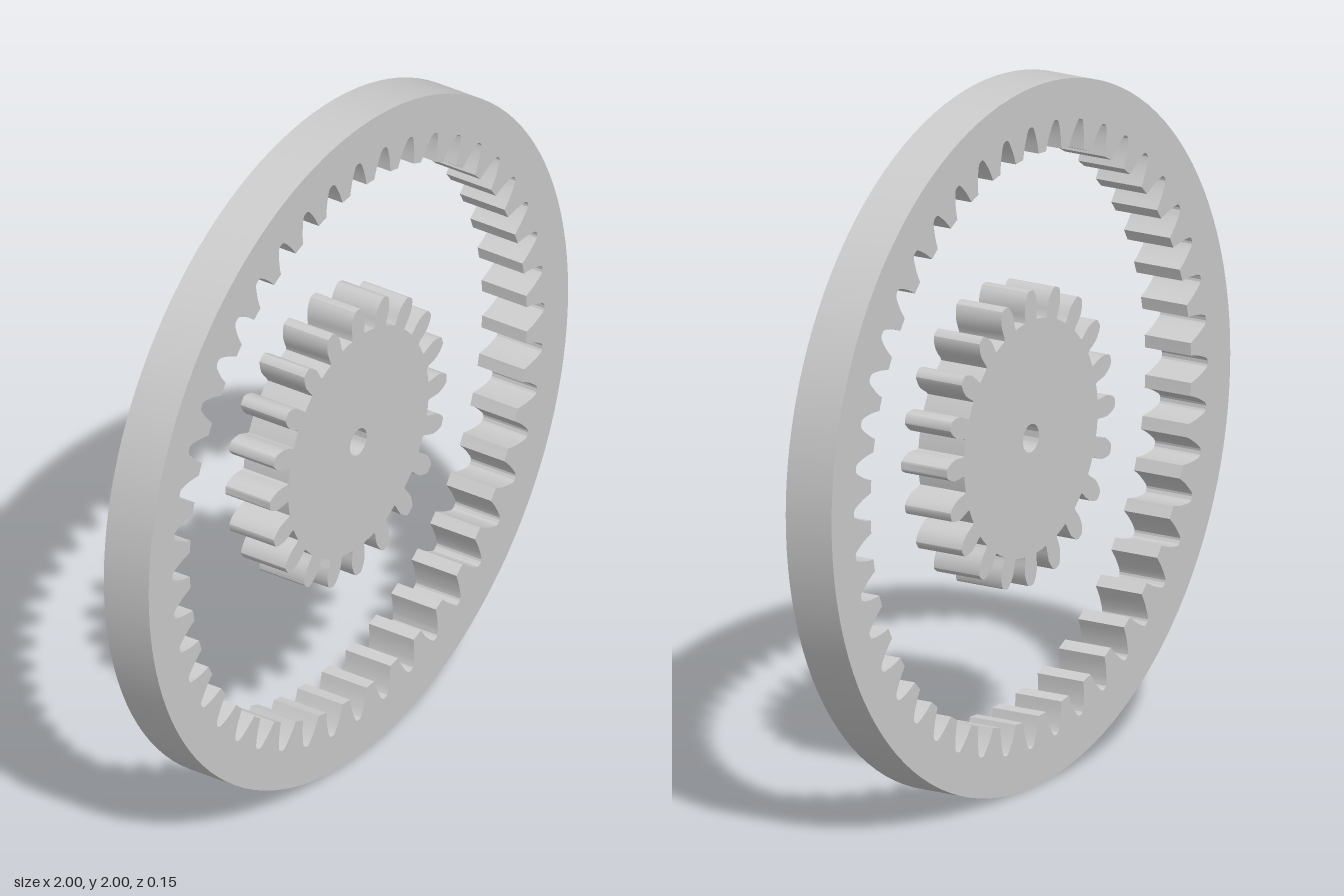
import * as THREE from 'three';
import { toCreasedNormals } from 'three/addons/utils/BufferGeometryUtils.js';

const DEPTH = 0.15;
const material = new THREE.MeshStandardMaterial({ color: 0xcccccc });

// Closed gear outline: flank lists [radius, half width] from root to tip,
// repeated around the circle with one tooth centred at the top.
function gearOutline(teeth, flank) {
  const points = [];
  const pitch = (Math.PI * 2) / teeth;
  const rootRadius = flank[0][0];
  const add = (r, a) => points.push(new THREE.Vector2(r * Math.cos(a), r * Math.sin(a)));
  for (let i = 0; i < teeth; i++) {
    const a = Math.PI / 2 + i * pitch;
    for (const [r, w] of flank) add(r, a - w / r);
    for (const [r, w] of [...flank].reverse()) add(r, a + w / r);
    add(rootRadius, a + pitch / 2); // middle of the land between teeth
  }
  return points;
}

function extrudePart(name, shape) {
  const extruded = new THREE.ExtrudeGeometry(shape, { depth: DEPTH, bevelEnabled: false, curveSegments: 60 });
  extruded.translate(0, 0, -DEPTH / 2);
  const mesh = new THREE.Mesh(toCreasedNormals(extruded, 0.4), material);
  mesh.name = name;
  mesh.position.y = 1;
  return mesh;
}

export function createModel() {
  const group = new THREE.Group();
  group.name = 'gearSet';

  // Outer ring with 44 inward teeth; the tooth spaces form the hole outline
  const ring = new THREE.Shape();
  ring.absarc(0, 0, 1, 0, Math.PI * 2, false);
  ring.holes.push(new THREE.Path(gearOutline(44, [
    [0.804, 0.039], [0.823, 0.035], [0.842, 0.03], [0.862, 0.0225], [0.877, 0.016], [0.884, 0.011], [0.887, 0.005],
  ])));
  group.add(extrudePart('ringGear', ring));

  // Central gear with 20 outward teeth and a shaft hole
  const sun = new THREE.Shape(gearOutline(20, [
    [0.335, 0.029], [0.345, 0.0275], [0.36, 0.0295], [0.383, 0.03], [0.4, 0.025], [0.413, 0.0185], [0.419, 0.0135], [0.421, 0.008],
  ]));
  const bore = new THREE.Path();
  bore.absarc(0, 0, 0.04, 0, Math.PI * 2, true);
  sun.holes.push(bore);
  group.add(extrudePart('sunGear', sun));

  return group;
}
